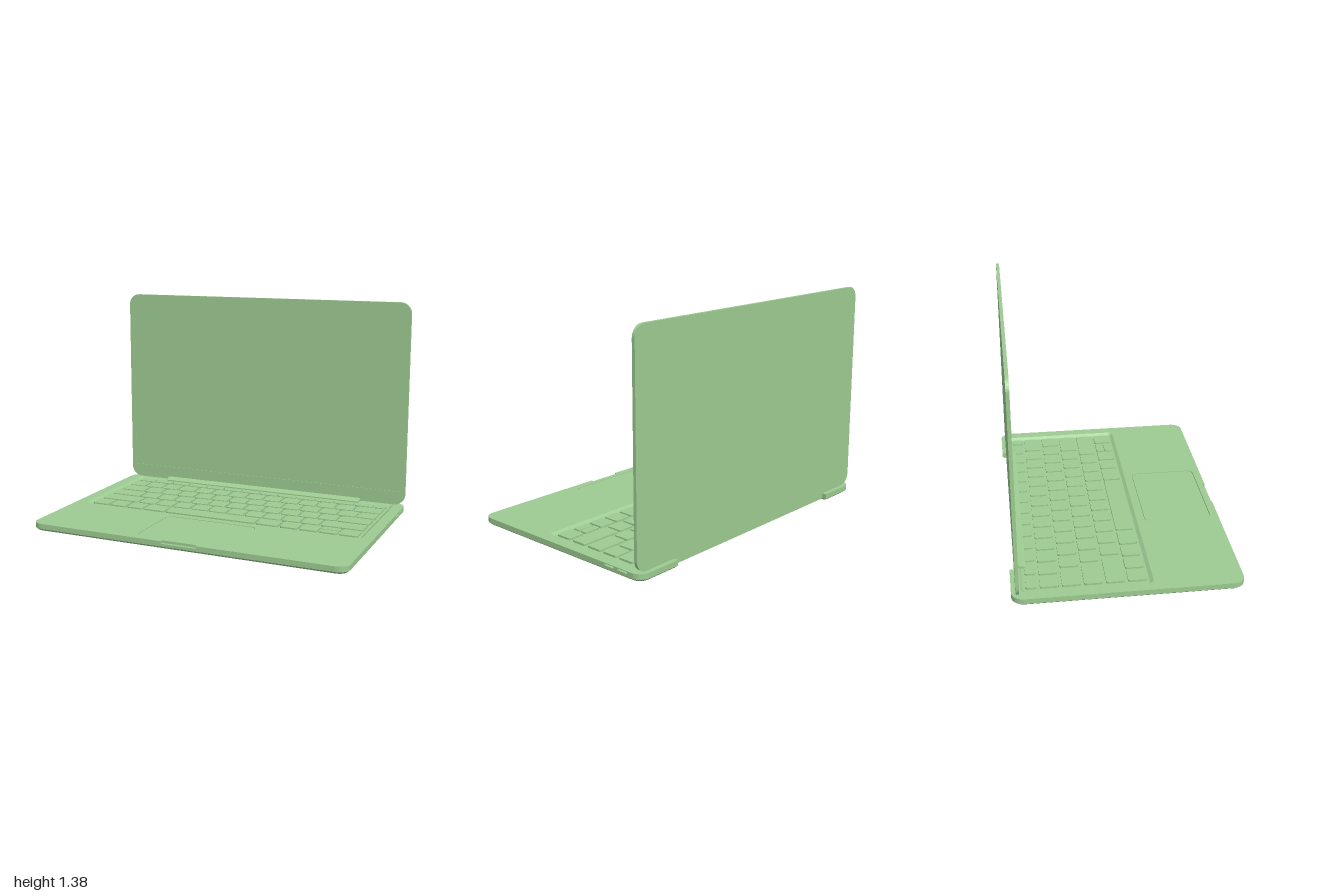
import * as THREE from 'three';

const body = new THREE.MeshStandardMaterial({ color: 0x9dcb92 });
body.name = 'soft green';

const TOP = 0.065, FLOOR = 0.05;

function arc(cx, cy, r, fromDeg, n = 8) {
  return Array.from({ length: n + 1 }, (_, i) => {
    const a = THREE.MathUtils.degToRad(fromDeg + (90 * i) / n);
    return new THREE.Vector2(cx + r * Math.cos(a), cy + r * Math.sin(a));
  });
}

// Rounded rectangle, counter-clockwise
function roundedRect(x0, x1, y0, y1, r, n = 8) {
  return [
    ...arc(x0 + r, y0 + r, r, 180, n), ...arc(x1 - r, y0 + r, r, 270, n),
    ...arc(x1 - r, y1 - r, r, 0, n), ...arc(x0 + r, y1 - r, r, 90, n),
  ];
}

// Plan of the base (y stands for -z), with hinge gap, finger notch and ports
function basePlan(inset, { finger = false, ports = false } = {}) {
  const w = 1 - inset, d = 0.66 - inset, r = 0.07 - inset, g = 0.71 + inset;
  const p = (x, y) => new THREE.Vector2(x, y);
  const pts = [...arc(-w + r, -d + r, r, 180)];
  if (finger) pts.push(p(-0.11, -d), p(-0.11, -d + 0.018), p(0.11, -d + 0.018), p(0.11, -d));
  pts.push(...arc(w - r, -d + r, r, 270));
  if (ports) for (const y of [0.39, 0.49]) pts.push(p(w, y), p(w - 0.04, y), p(w - 0.04, y + 0.07), p(w, y + 0.07));
  pts.push(...arc(w - r, d - r, r, 0));
  pts.push(p(g, d), p(g, 0.612 - inset), p(-g, 0.612 - inset), p(-g, d));
  pts.push(...arc(-w + r, d - r, r, 90));
  return pts;
}

function extrude(points, depth, holes = []) {
  const shape = new THREE.Shape(points);
  holes.forEach((h) => shape.holes.push(new THREE.Path(h)));
  return new THREE.ExtrudeGeometry(shape, { depth, bevelEnabled: false });
}

// Horizontal slab between two heights
function slab(points, y0, y1, holes) {
  return extrude(points, y1 - y0, holes).rotateX(-Math.PI / 2).translate(0, y0, 0);
}

// Sloped band joining two outlines of equal point count
function skirt(a, ya, b, yb) {
  const pos = [];
  a.forEach((_, i) => {
    const j = (i + 1) % a.length;
    const A = [a[i].x, ya, -a[i].y], B = [a[j].x, ya, -a[j].y];
    const C = [b[j].x, yb, -b[j].y], D = [b[i].x, yb, -b[i].y];
    pos.push(...A, ...B, ...C, ...A, ...C, ...D);
  });
  const geo = new THREE.BufferGeometry();
  geo.setAttribute('position', new THREE.Float32BufferAttribute(pos, 3));
  geo.computeVertexNormals();
  return geo;
}

function add(parent, name, geometry) {
  const mesh = new THREE.Mesh(geometry, body);
  mesh.name = name;
  parent.add(mesh);
  return mesh;
}

function group(parent, name) {
  const g = new THREE.Group();
  g.name = name;
  parent.add(g);
  return g;
}

function buildBase(model) {
  const base = group(model, 'base');
  const well = roundedRect(-0.932, 0.932, -0.145, 0.606, 0.025);
  const wellInner = roundedRect(-0.912, 0.912, -0.125, 0.592, 0.015);
  const padHole = roundedRect(-0.3, 0.3, -0.612, -0.195, 0.04);

  // Chamfered underside
  const low = basePlan(0.015);
  add(base, 'underside', new THREE.ShapeGeometry(new THREE.Shape(low)).rotateX(Math.PI / 2).scale(1, 1, -1).translate(0, 0.02, 0));
  const under = base.children[0].geometry;
  under.setIndex(Array.from(under.index.array).reverse());
  under.computeVertexNormals();
  if (under.attributes.normal.getY(0) > 0) {
    under.setIndex(Array.from(under.index.array).reverse());
    under.computeVertexNormals();
  }
  add(base, 'bottomChamfer', skirt(low, 0.02, basePlan(0), 0.033));

  // Layers of the shell
  add(base, 'lowerShell', slab(basePlan(0), 0.033, FLOOR));
  add(base, 'middleShell', slab(basePlan(0, { finger: true, ports: true }), FLOOR, 0.06, [well, padHole]));
  add(base, 'topDeck', slab(basePlan(0, { finger: true }), 0.06, TOP, [well, padHole]));
  add(base, 'keyboardWellSlope', skirt(well, TOP, wellInner, FLOOR));
  add(base, 'trackpad', slab(roundedRect(-0.297, 0.297, -0.609, -0.198, 0.037), FLOOR, 0.063));

  // Round feet
  const footProfile = [[0, 0], [0.025, 0.001], [0.045, 0.006], [0.058, 0.021]].map((q) => new THREE.Vector2(...q));
  const foot = new THREE.LatheGeometry(footProfile, 28);
  for (const x of [-0.87, 0.87]) for (const z of [-0.53, 0.53]) add(base, 'foot', foot).position.set(x, 0, z);
}

function buildKeyboard(model) {
  const keyboard = group(model, 'keyboard');
  const ones = (n, w = 1) => Array(n).fill(w);
  const unit = 0.1249, gap = 0.015, left = -0.895;
  // Back edge, front edge, key widths in units
  const rows = [
    [-0.576, -0.515, [...ones(13, 1.062), 0.644]],
    [-0.497, -0.39, [...ones(13), 1.45]],
    [-0.373, -0.265, [1.45, ...ones(13)]],
    [-0.248, -0.14, [1.75, ...ones(11), 1.7]],
    [-0.122, -0.015, [2.2, ...ones(10), 2.25]],
    [0.003, 0.11, [1, 1, 1, 1.25, 4.95, 1.25, 1, 1, 1, 1]],
  ];
  const key = (x0, x1, z0, z1) => add(keyboard, 'key', slab(roundedRect(x0, x1, -z1, -z0, 0.012, 3), FLOOR, 0.062));
  rows.forEach(([z0, z1, widths], row) => {
    let x = left;
    widths.forEach((w, i) => {
      const x1 = x + w * unit - gap;
      if (row === 5 && i === 8) {
        // Two half-height arrow keys
        key(x, x1, z0, 0.053);
        key(x, x1, 0.06, z1);
      } else key(x, x1, z0, z1);
      x += w * unit;
    });
  });
}

function buildLid(model) {
  const lid = group(model, 'lid');
  const outline = roundedRect(-1, 1, 0.067, 1.375, 0.07);
  const screen = roundedRect(-0.97, 0.97, 0.155, 1.285, 0.006, 2);
  add(lid, 'lidShell', extrude(outline, 0.017).translate(0, 0, -0.635));
  add(lid, 'screenBezel', extrude(outline, 0.003, [screen]).translate(0, 0, -0.618));
  add(lid, 'camera', new THREE.CylinderGeometry(0.01, 0.01, 0.002, 20).rotateX(Math.PI / 2).translate(0, 1.33, -0.6145));

  // Hinge tongue in the rear gap and the sloped cover before it
  add(lid, 'hingeTongue', new THREE.BoxGeometry(1.41, 0.053, 0.02).translate(0, 0.0585, -0.625));
  const wedge = [[0.568, 0.064], [0.568, 0.071], [0.616, 0.085], [0.616, 0.064]].map((q) => new THREE.Vector2(...q));
  add(lid, 'hingeCover', extrude(wedge, 1.41).rotateY(Math.PI / 2).translate(-0.705, 0, 0));
}

export function createModel() {
  const model = new THREE.Group();
  model.name = 'laptop';
  buildBase(model);
  buildKeyboard(model);
  buildLid(model);
  return model;
}
